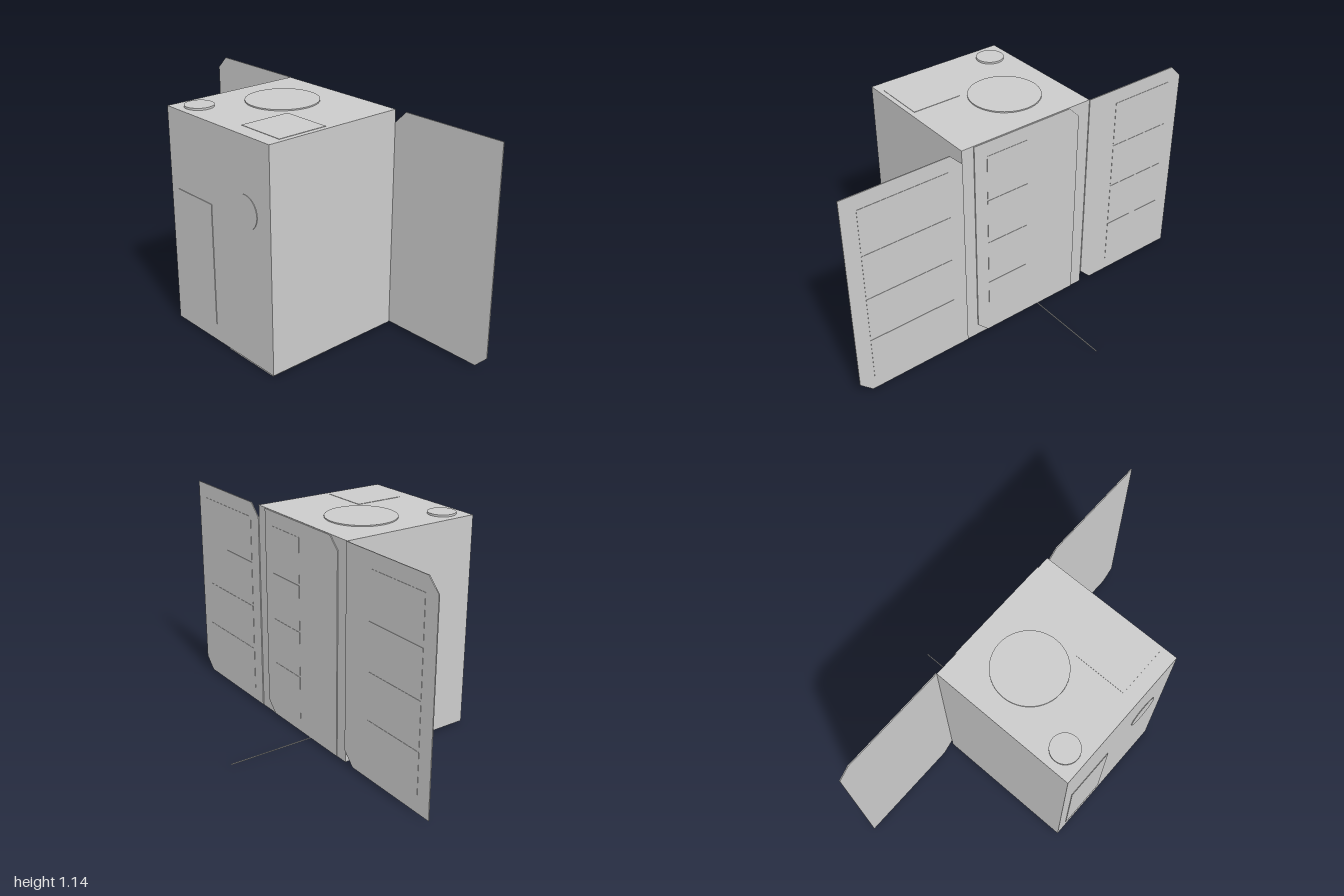
import * as THREE from 'three';

export function createModel() {
  const model = new THREE.Group();
  const grey = new THREE.MeshStandardMaterial({ color: 0xcccccc });

  const add = (name, geometry, x = 0, y = 0, z = 0) => {
    const mesh = new THREE.Mesh(geometry, grey);
    mesh.name = name;
    mesh.position.set(x, y, z);
    model.add(mesh);
    return mesh;
  };
  // Box given by its extents on each axis
  const block = (name, [x0, x1], [y0, y1], [z0, z1]) =>
    add(name, new THREE.BoxGeometry(x1 - x0, y1 - y0, z1 - z0),
      (x0 + x1) / 2, (y0 + y1) / 2, (z0 + z1) / 2);
  const disc = (name, r, h, x, y, z) =>
    add(name, new THREE.CylinderGeometry(r, r, h, 48), x, y, z);

  // Main body
  block('body', [-0.378, 0.375], [0.01, 1.131], [-0.148, 0.606]);

  // Thin panels with the upper -x and lower +x corners cut off
  const panel = (name, x0, x1, y0, y1, cut, z0, depth) => {
    const shape = new THREE.Shape([
      [x0, y0], [x1 - cut, y0], [x1, y0 + cut],
      [x1, y1], [x0 + cut, y1], [x0, y1 - cut],
    ].map(([x, y]) => new THREE.Vector2(x, y)));
    add(name, new THREE.ExtrudeGeometry(shape, { depth, bevelEnabled: false }), 0, 0, z0);
  };
  panel('rightWing', -1, -0.378, 0.013, 1.131, 0.065, -0.153, 0.005);
  panel('leftWing', 0.375, 1, 0.013, 1.131, 0.065, -0.153, 0.005);
  panel('backPanel', -0.31, 0.31, 0.013, 1.128, 0.06, -0.153, 0.006);

  // Solar cells in four rows on the back
  const rowHeight = 0.245;
  for (const [x0, x1] of [[-0.92, -0.555], [0.004, 0.24], [0.45, 0.92]]) {
    for (let row = 0; row < 4; row++) {
      const y = 0.085 + row * rowHeight;
      block('solarCell', [x0, x1], [y, y + rowHeight - 0.012], [-0.1545, -0.152]);
    }
  }

  // Fittings on the top
  disc('smallTopDisc', 0.071, 0.012, -0.27, 1.135, 0.5);
  disc('largeTopDisc', 0.18, 0.008, -0.09, 1.133, 0.145);
  block('topPlate', [0.09, 0.35], [1.129, 1.133], [0.265, 0.53]);

  // Fittings on the front
  disc('frontDisc', 0.084, 0.008, 0.2, 0.772, 0.605).rotation.x = Math.PI / 2;
  block('frontPlate', [-0.32, -0.055], [0.1, 0.73], [0.6, 0.609]);

  // Plates under the body
  block('frontBottomPlate', [0.035, 0.365], [0, 0.012], [0.27, 0.602]);
  block('backBottomPlate', [-0.35, -0.025], [0.005, 0.012], [-0.12, 0.21]);

  // Thin antenna pointing backwards from the lower edge
  const antenna = add('antenna', new THREE.CylinderGeometry(0.003, 0.003, 0.465, 8), -0.08, 0.01, -0.3805);
  antenna.rotation.x = Math.PI / 2;

  return model;
}
